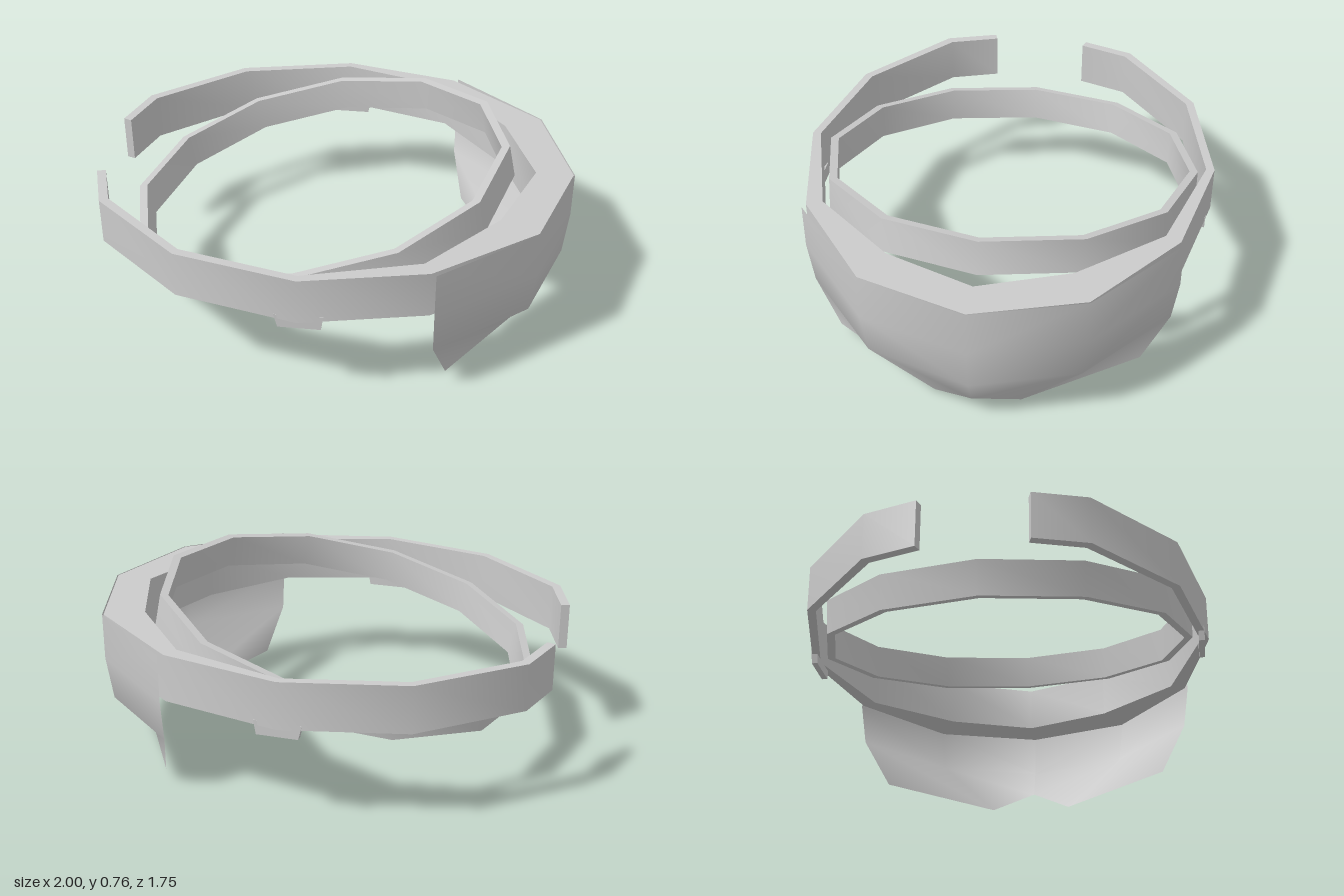
import * as THREE from 'three';
import { toCreasedNormals } from 'three/addons/utils/BufferGeometryUtils.js';

const material = new THREE.MeshStandardMaterial({ color: 0xcccccc });
const sheetMaterial = new THREE.MeshStandardMaterial({ color: 0xcccccc, side: THREE.DoubleSide });

// Plan outline (x, z) extruded upwards from y = 0, smooth around the bends
function extrudePlan(shape, height) {
  const geometry = new THREE.ExtrudeGeometry(shape, { depth: height, bevelEnabled: false });
  geometry.rotateX(-Math.PI / 2);
  return toCreasedNormals(geometry, 0.75);
}

function addMesh(parent, name, geometry, mat = material) {
  const mesh = new THREE.Mesh(geometry, mat);
  mesh.name = name;
  parent.add(mesh);
  return mesh;
}

const mirrorPath = (half) => [...half, ...half.slice(0, -1).reverse().map(([x, z]) => [x, -z])];

// Open frame band, thickening towards the visor
function frameBand() {
  const outer = mirrorPath([[-1, 0.22], [-0.93, 0.44], [-0.55, 0.76], [-0.05, 0.873], [0.45, 0.762], [0.855, 0.447], [0.995, 0]]);
  const inner = mirrorPath([[-0.965, 0.208], [-0.897, 0.418], [-0.535, 0.727], [-0.05, 0.838], [0.42, 0.7], [0.7, 0.37], [0.838, 0]]);
  const points = [...outer, ...inner.reverse()].map(([x, z]) => new THREE.Vector2(x, z));
  return extrudePlan(new THREE.Shape(points), 0.2);
}

// Twelve-sided head ring
function headRing() {
  const polygon = (rx, rz) => Array.from({ length: 12 }, (_, i) => {
    const a = (i * Math.PI) / 6;
    return new THREE.Vector2(Math.cos(a) * rx, Math.sin(a) * rz);
  });
  const shape = new THREE.Shape(polygon(0.822, 0.805));
  shape.holes.push(new THREE.Path(polygon(0.787, 0.77)));
  return extrudePlan(shape, 0.145).translate(0, -0.0725, 0);
}

// Curved visor sheet with a nose notch: rows run from one side to the other
function visorSheet() {
  const halfRows = [
    [[0.47, 0.64, 0.775], [0.86, 0.64, 0.45], [1, 0.64, 0]],
    [[0.47, 0.44, 0.775], [0.86, 0.44, 0.45], [1, 0.44, 0]],
    [[0.47, 0.26, 0.75], [0.84, 0.25, 0.43], [0.98, 0.25, 0]],
    [[0.52, 0.06, 0.64], [0.78, 0, 0.18], [0.92, 0.12, 0]],
  ];
  const positions = [];
  for (const [side, mid, centre] of halfRows) {
    const flip = ([x, y, z]) => [x, y, -z];
    positions.push(...side, ...mid, ...centre, ...flip(mid), ...flip(side));
  }
  const index = [];
  for (let r = 0; r < 3; r++) {
    for (let c = 0; c < 4; c++) {
      const a = r * 5 + c, b = a + 1, d = a + 5, e = a + 6;
      // diagonals mirrored about the centre line
      if (c < 2) index.push(a, d, e, a, e, b);
      else index.push(a, d, b, b, d, e);
    }
  }
  const geometry = new THREE.BufferGeometry();
  geometry.setAttribute('position', new THREE.Float32BufferAttribute(positions, 3));
  geometry.setIndex(index);
  geometry.computeVertexNormals();
  return geometry;
}

// Small tapered tab hanging below the frame
function tabGeometry() {
  const shape = new THREE.Shape([[-0.13, 0.4], [0.04, 0.4], [0.05, 0.46], [-0.145, 0.46]].map(([x, y]) => new THREE.Vector2(x, y)));
  return new THREE.ExtrudeGeometry(shape, { depth: 0.025, bevelEnabled: false }).translate(0, 0, -0.0125);
}

export function createModel() {
  const model = new THREE.Group();
  model.name = 'headset';

  addMesh(model, 'frameBand', frameBand()).position.y = 0.44;

  const ring = addMesh(model, 'headRing', headRing());
  ring.position.set(-0.07, 0.525, 0);
  ring.rotation.z = 0.204;

  addMesh(model, 'visor', visorSheet(), sheetMaterial);

  for (const side of [1, -1]) {
    addMesh(model, side > 0 ? 'frontTab' : 'backTab', tabGeometry()).position.z = side * 0.842;
  }
  return model;
}
